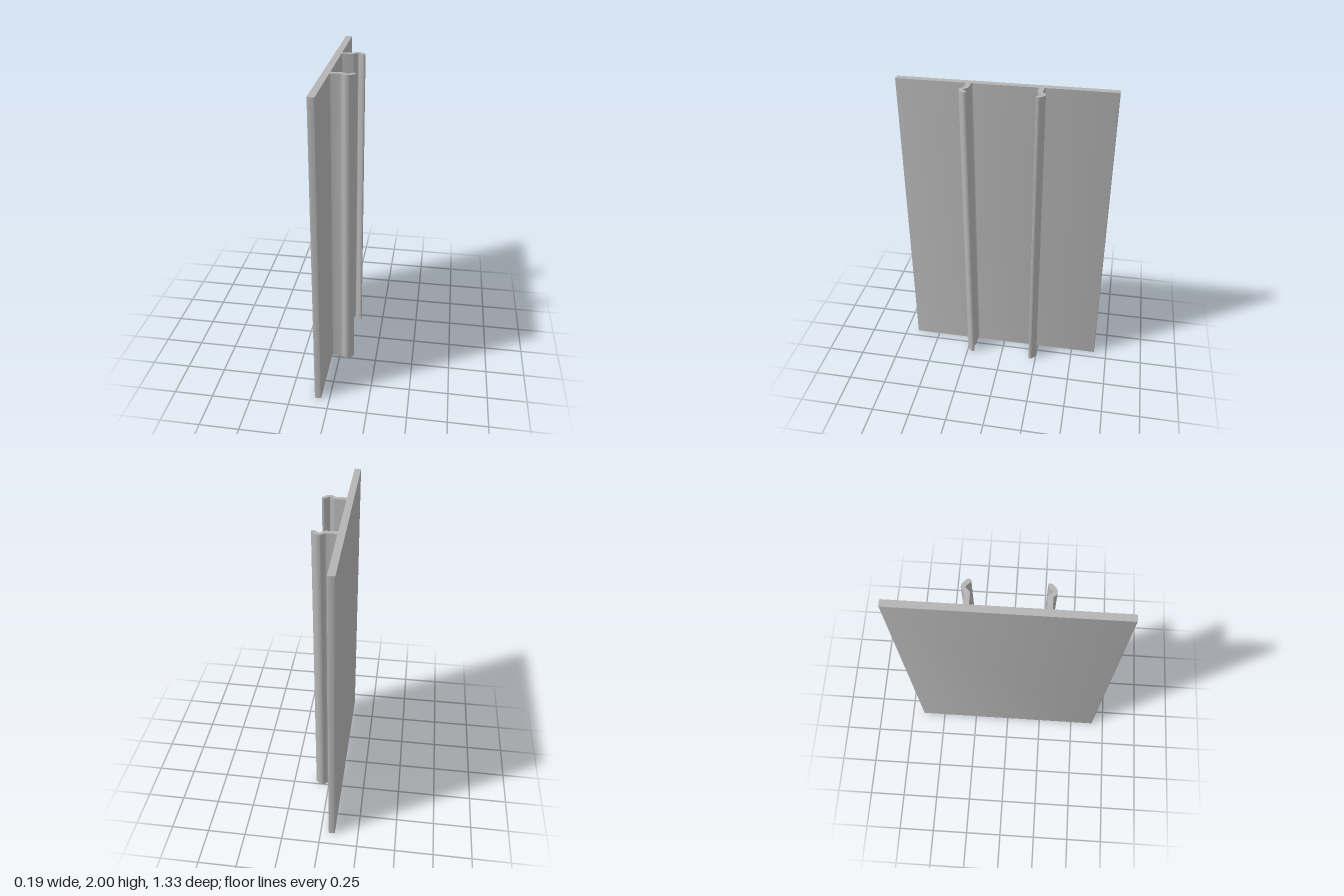
import * as THREE from 'three';
import { toCreasedNormals } from 'three/addons/utils/BufferGeometryUtils.js';

const HEIGHT = 2;
const BACK = -0.095, FACE = -0.053, TIP = 0.094, HALF_WIDTH = 0.665;

// Stand a plan-view profile (x, depth) upright along y
function extrudeUp(shape, name, material) {
  const geometry = new THREE.ExtrudeGeometry(shape, { depth: HEIGHT, bevelEnabled: false, curveSegments: 8 });
  geometry.rotateX(-Math.PI / 2);
  const mesh = new THREE.Mesh(toCreasedNormals(geometry, 0.6), material);
  mesh.name = name;
  return mesh;
}

// Flat panel with slightly eased corners
function panelShape() {
  const r = 0.005, s = new THREE.Shape();
  s.moveTo(BACK + r, -HALF_WIDTH);
  s.lineTo(FACE - r, -HALF_WIDTH);
  s.quadraticCurveTo(FACE, -HALF_WIDTH, FACE, -HALF_WIDTH + r);
  s.lineTo(FACE, HALF_WIDTH - r);
  s.quadraticCurveTo(FACE, HALF_WIDTH, FACE - r, HALF_WIDTH);
  s.lineTo(BACK + r, HALF_WIDTH);
  s.quadraticCurveTo(BACK, HALF_WIDTH, BACK, HALF_WIDTH - r);
  s.lineTo(BACK, -HALF_WIDTH + r);
  s.quadraticCurveTo(BACK, -HALF_WIDTH, BACK + r, -HALF_WIDTH);
  return s;
}

// Snap rail: filleted root, straight web, outward bump and rounded lip
function railShape(side) {
  const s = new THREE.Shape();
  const line = (x, d) => s.lineTo(x, side * d);
  const curve = (cx, cd, x, d) => s.quadraticCurveTo(cx, side * cd, x, side * d);
  s.moveTo(FACE, side * 0.191);
  curve(FACE, 0.201, FACE + 0.01, 0.201);
  // inner side
  line(0.014, 0.201);
  curve(0.02, 0.201, 0.025, 0.206);
  line(0.043, 0.225);
  curve(0.048, 0.23, 0.053, 0.225);
  line(0.072, 0.206);
  curve(0.077, 0.201, 0.082, 0.201);
  // lip
  line(TIP - 0.006, 0.201);
  curve(TIP, 0.201, TIP, 0.207);
  line(TIP, 0.217);
  curve(TIP, 0.221, TIP - 0.004, 0.225);
  // outer side
  line(0.072, 0.243);
  curve(0.062, 0.252, 0.048, 0.252);
  curve(0.036, 0.252, 0.028, 0.243);
  line(0.02, 0.235);
  curve(0.016, 0.231, 0.01, 0.231);
  line(FACE + 0.01, 0.231);
  curve(FACE, 0.231, FACE, 0.241);
  s.closePath();
  return s;
}

export function createModel() {
  const grey = new THREE.MeshStandardMaterial({ color: 0xb4b4b4 });
  grey.name = 'plain grey';

  const model = new THREE.Group();
  model.name = 'clipPanel';
  model.add(extrudeUp(panelShape(), 'panel', grey));
  model.add(extrudeUp(railShape(-1), 'frontRail', grey));
  model.add(extrudeUp(railShape(1), 'backRail', grey));
  return model;
}
